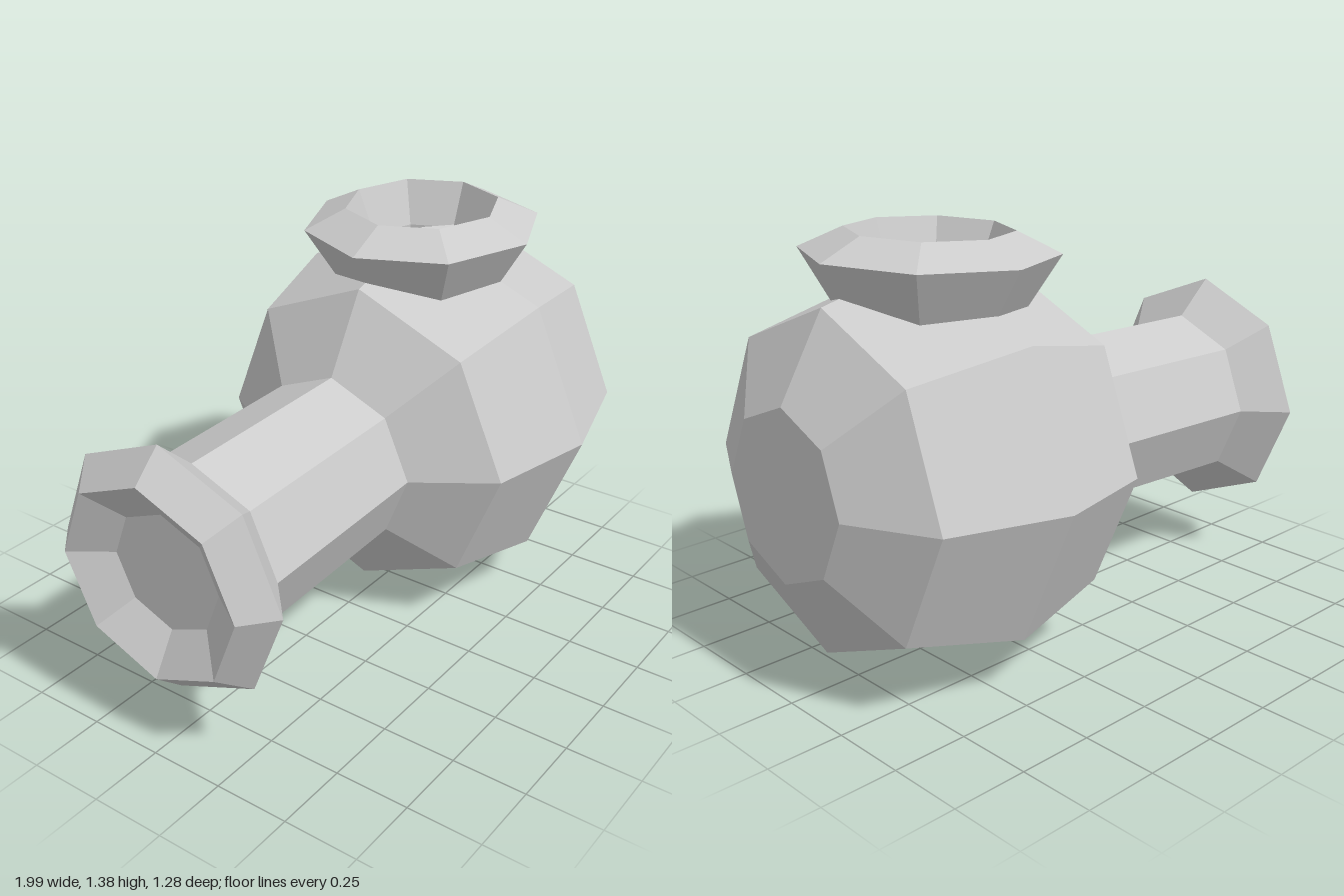
import * as THREE from 'three';

const material = new THREE.MeshStandardMaterial({ color: 0xcccccc, flatShading: true });

// Eight-sided turned part; profile is [radius, height] from bottom to top
function turned(name, profile) {
  const points = profile.map(([r, h]) => new THREE.Vector2(r, h));
  const mesh = new THREE.Mesh(new THREE.LatheGeometry(points, 8), material);
  mesh.name = name;
  return mesh;
}

export function createModel() {
  const model = new THREE.Group();
  model.name = 'roundVesselWithPipe';

  // The whole vessel leans slightly, pipe end down
  const tilted = new THREE.Group();
  tilted.name = 'tiltedVessel';
  tilted.position.y = 0.629;
  tilted.rotation.z = 0.036;
  model.add(tilted);

  // Bulb, pipe and flared, recessed pipe end in one profile along x
  const body = turned('bulbAndPipe', [
    [0, -0.9], [0.2, -0.9],
    [0.33, -0.985], [0.42, -0.886],
    [0.298, -0.757], [0.294, -0.085],
    [0.545, 0.075], [0.641, 0.447], [0.537, 0.843],
    [0.27, 0.987], [0, 0.987],
  ]);
  body.geometry.rotateZ(-Math.PI / 2);
  tilted.add(body);

  // Flared neck with an open bore, sitting on top of the bulb
  const neck = turned('neck', [
    [0.27, 0.45], [0.4, 0.661], [0.26, 0.727], [0.2, 0.58], [0.2, 0.5], [0, 0.5],
  ]);
  neck.position.x = 0.445;
  tilted.add(neck);

  return model;
}
